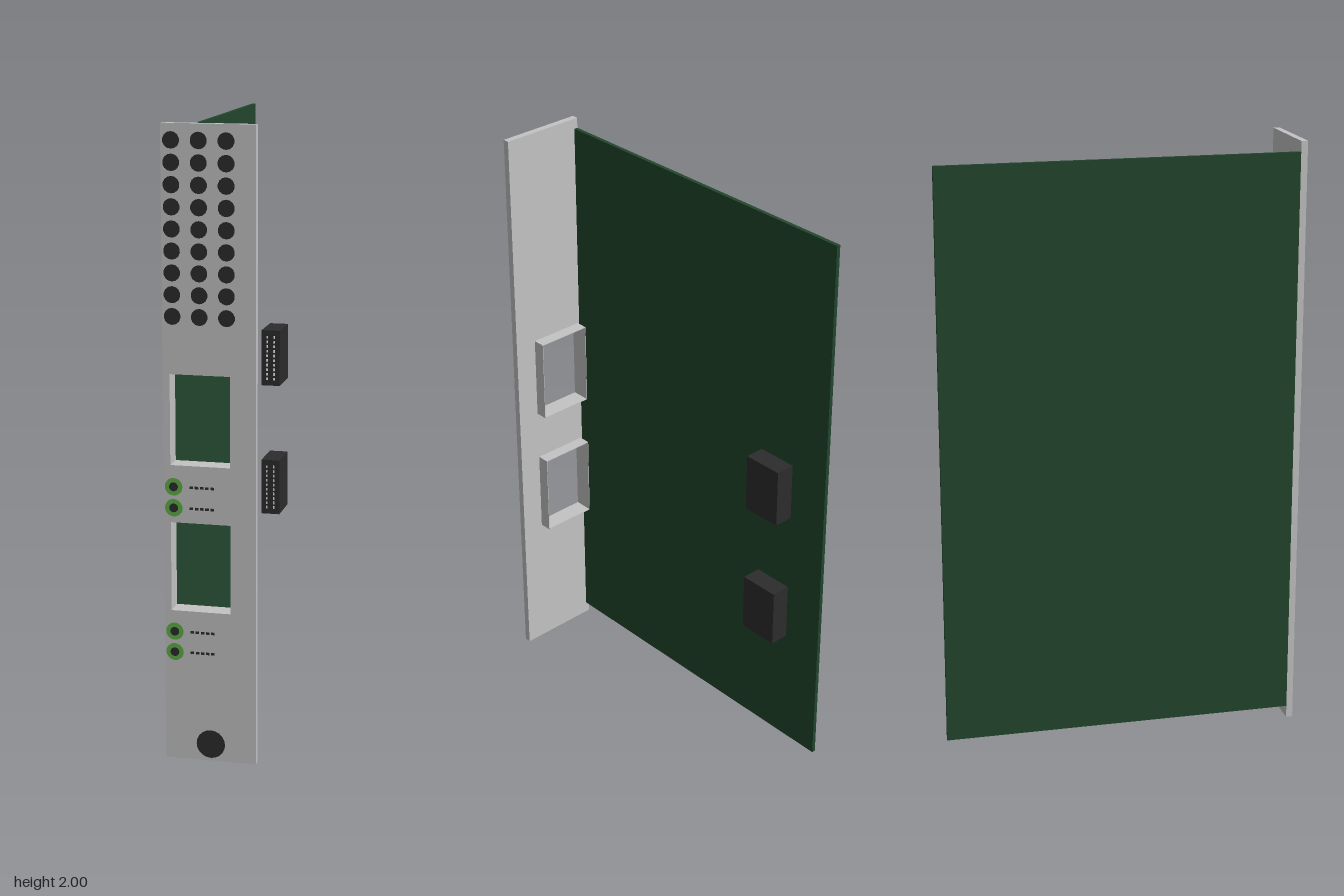
import * as THREE from 'three';

export function createModel() {
  const root = new THREE.Group();
  const mat = (name, color) => {
    const m = new THREE.MeshStandardMaterial({ color });
    m.name = name;
    return m;
  };
  const metal = mat('panel grey', 0xc3c3c3);
  const boardGreen = mat('board green', 0x22462d);
  const black = mat('black plastic', 0x2c2c2c);
  const ringGreen = mat('lamp green', 0x5fae48);
  const pinWhite = mat('pin silver', 0xd8d8d8);

  const add = (name, geo, material, x = 0, y = 0, z = 0, parent = root) => {
    const m = new THREE.Mesh(geo, material);
    m.name = name;
    m.position.set(x, y, z);
    parent.add(m);
    return m;
  };
  const rect = (T, x0, y0, x1, y1) => {
    const s = new T();
    s.moveTo(x0, y0);
    s.lineTo(x1, y0);
    s.lineTo(x1, y1);
    s.lineTo(x0, y1);
    s.closePath();
    return s;
  };
  const disc = (r, depth, sides = 16) =>
    new THREE.CylinderGeometry(r, r, depth, sides).rotateX(Math.PI / 2);

  const FRONT = 0.602;
  const portX0 = -0.124, portX1 = 0.065, portH = 0.285;
  const ports = [0.489, 0.956]; // bottom edge of each port opening

  // Front panel with the two port openings
  const panel = rect(THREE.Shape, -0.146, 0, 0.146, 2);
  ports.forEach(y => panel.holes.push(rect(THREE.Path, portX0, y, portX1, y + portH)));
  add('frontPanel', new THREE.ExtrudeGeometry(panel, { depth: 0.022, bevelEnabled: false }),
    metal, 0, 0, FRONT - 0.022);

  // Circuit board behind the panel
  add('circuitBoard', new THREE.BoxGeometry(0.013, 1.924, 1.185), boardGreen, -0.1395, 1.003, -0.0125);

  // Vent dots
  const vents = new THREE.Group();
  vents.name = 'vents';
  root.add(vents);
  const ventGeo = disc(0.026, 0.002, 14);
  for (let row = 0; row < 9; row++)
    for (let col = 0; col < 3; col++)
      add('vent', ventGeo, black, -0.114 + col * 0.0845, 1.95 - row * 0.0663, FRONT + 0.0005, vents);

  const pinGeo = new THREE.BoxGeometry(0.005, 0.009, 0.005);
  const markGeo = new THREE.BoxGeometry(0.011, 0.008, 0.002);
  ports.forEach((y, i) => {
    const unit = new THREE.Group();
    unit.name = i ? 'upperPort' : 'lowerPort';
    root.add(unit);

    // Thin collar around the opening
    const w = 0.002;
    const collar = rect(THREE.Shape, portX0 - w, y - w, portX1 + w, y + portH + w);
    collar.holes.push(rect(THREE.Path, portX0, y, portX1, y + portH));
    add('portCollar', new THREE.ExtrudeGeometry(collar, { depth: 0.042, bevelEnabled: false }),
      metal, 0, 0, 0.538, unit);

    // Rear connector with two columns of pins
    const cy = y + 0.143;
    add('connector', new THREE.BoxGeometry(0.065, 0.197, 0.137), black, -0.0295, cy, -0.4585, unit);
    for (const x of [-0.042, -0.017])
      for (let p = 0; p < 10; p++)
        add('pin', pinGeo, pinWhite, x, cy + (p - 4.5) * 0.0165, -0.3885, unit);

    // Indicator lamps with a row of tick marks beside each
    for (const dy of [0.068, 0.135]) {
      add('lampRing', disc(0.028, 0.002, 20), ringGreen, -0.114, y - dy, FRONT + 0.0005, unit);
      add('lampCore', disc(0.014, 0.005, 16), black, -0.114, y - dy, FRONT + 0.001, unit);
      for (let k = 0; k < 5; k++)
        add('tickMark', markGeo, black, -0.058 + k * 0.0165, y - dy, FRONT, unit);
    }
  });

  // Fixing screw
  add('screw', disc(0.046, 0.002, 20), black, 0, 0.055, FRONT + 0.0005);

  return root;
}
